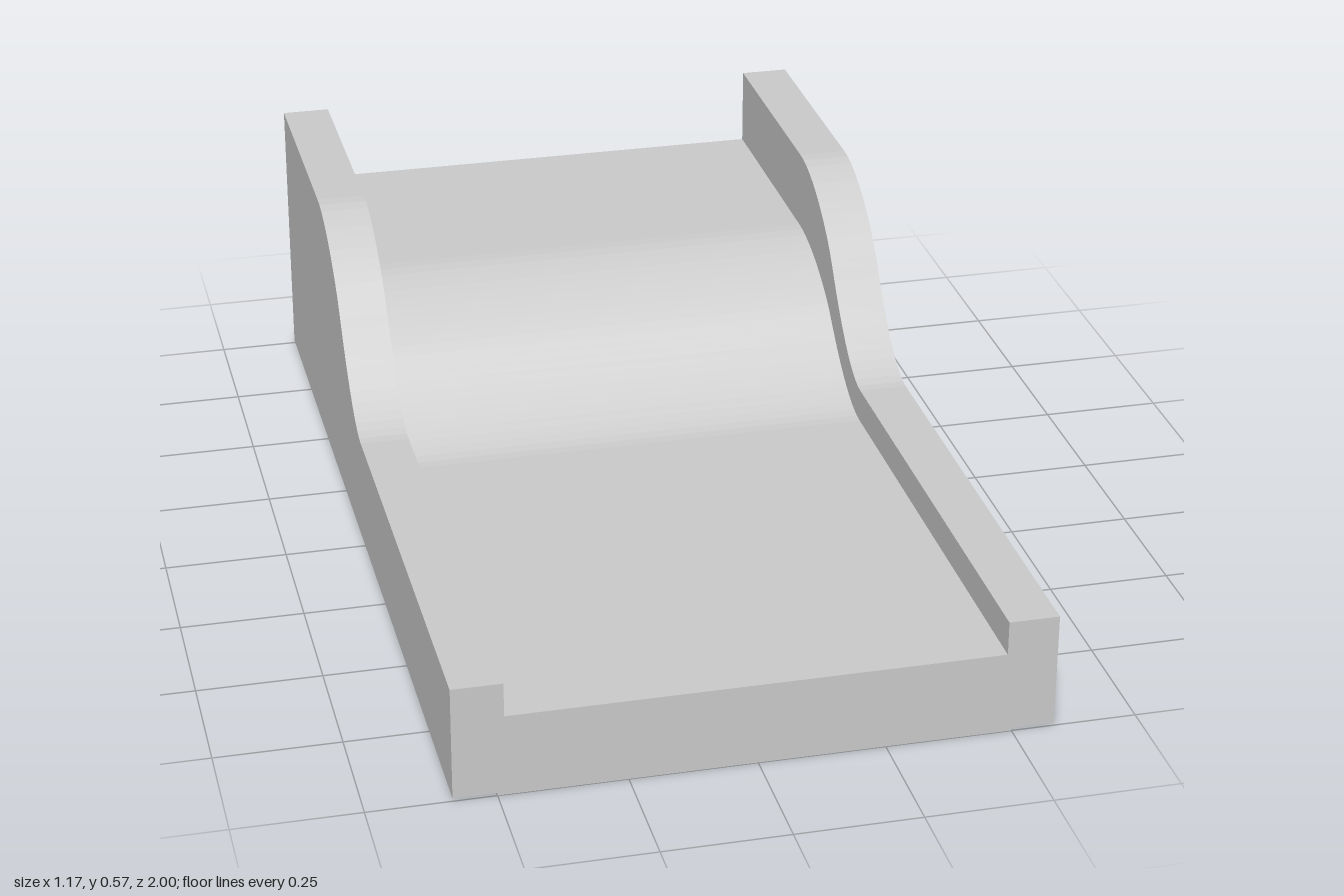
import * as THREE from 'three';

export function createModel() {
  const group = new THREE.Group();
  const material = new THREE.MeshStandardMaterial({ color: 0xcccccc });

  // Side profile of the wall tops, from back to front (x holds z here)
  const v = (z, y) => new THREE.Vector2(z, y);
  const profile = new THREE.CurvePath();
  profile.add(new THREE.LineCurve(v(-1, 0.575), v(-0.5, 0.575)));
  profile.add(new THREE.CubicBezierCurve(v(-0.5, 0.575), v(-0.4, 0.575), v(-0.28, 0.49), v(-0.23, 0.42)));
  profile.add(new THREE.CubicBezierCurve(v(-0.23, 0.42), v(-0.17, 0.34), v(-0.08, 0.24), v(0, 0.24)));
  profile.add(new THREE.LineCurve(v(0, 0.24), v(1, 0.24)));
  const stations = profile.getPoints(12);

  // Channel cross-section; y is a level: 0 underside, 1 outer rim, 2 floor, 3 wall top
  const half = [[0.5, 0], [0.5, 1], [0.585, 1], [0.585, 3], [0.485, 3], [0.485, 2]];
  const mirrored = half.map(([x, level]) => [-x, level]).reverse();
  const section = new THREE.Shape([...half, ...mirrored].map(([x, level]) => v(x, level)));

  // One extrusion step per station, then each vertex moves to its real height and depth
  const last = stations.length - 1;
  const geometry = new THREE.ExtrudeGeometry(section, { depth: last, steps: last, bevelEnabled: false });
  const pos = geometry.attributes.position;
  for (let i = 0; i < pos.count; i++) {
    const { x: z, y: wall } = stations[Math.round(pos.getZ(i))];
    const floor = 0.17 + (wall - 0.24) * (0.24 / 0.335);
    const heights = [0, 0.006, floor, wall];
    pos.setY(i, heights[Math.round(pos.getY(i))]);
    pos.setZ(i, z);
  }
  geometry.computeVertexNormals();

  const ramp = new THREE.Mesh(geometry, material);
  ramp.name = 'walledRamp';
  group.add(ramp);
  return group;
}
